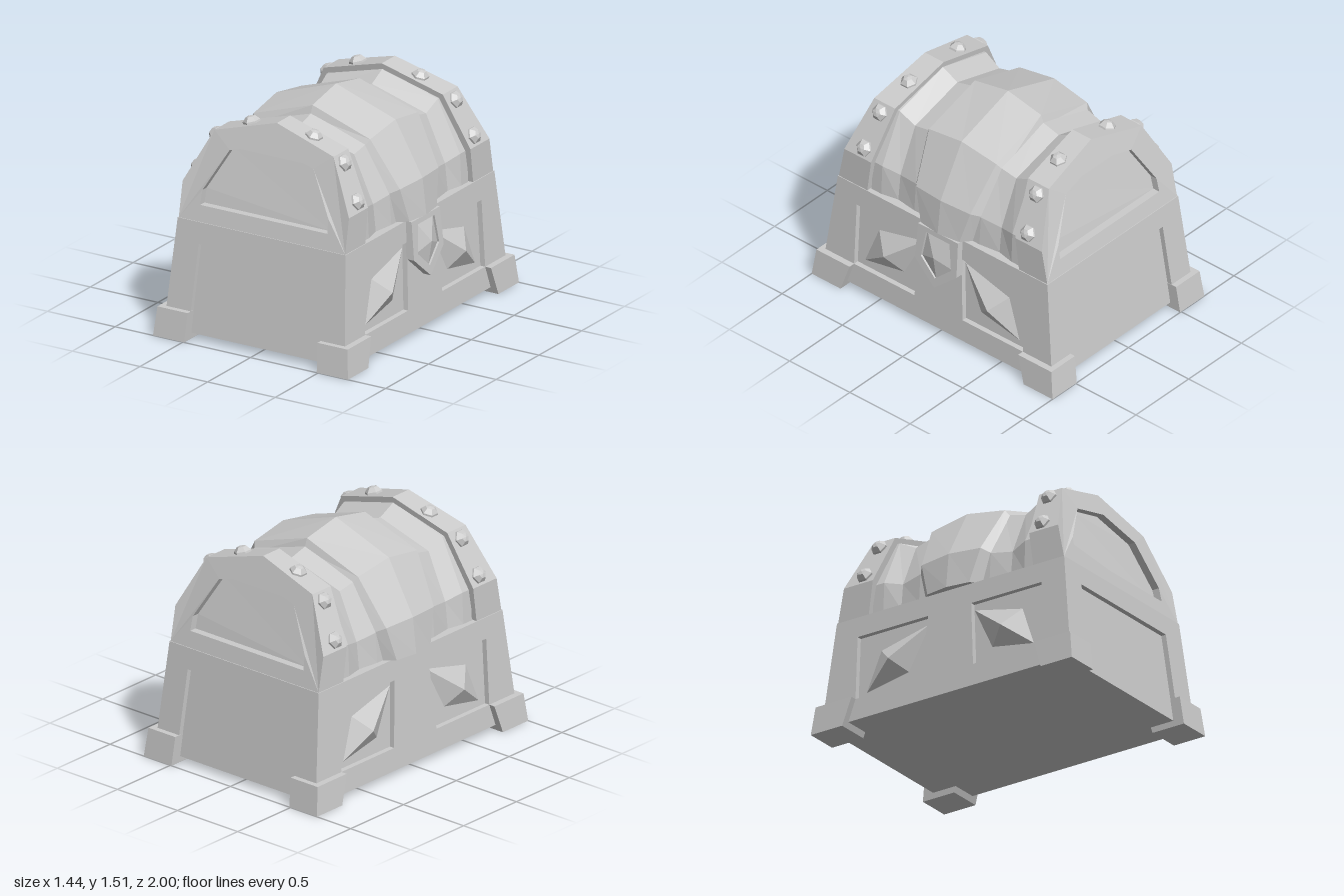
import * as THREE from 'three';
import { ConvexGeometry } from 'three/addons/geometries/ConvexGeometry.js';

const material = new THREE.MeshStandardMaterial({ color: 0xcccccc, flatShading: true, side: THREE.DoubleSide });
const mesh = (name, geometry) => {
  const m = new THREE.Mesh(geometry, material);
  m.name = name;
  return m;
};
const V = (x, y, z) => new THREE.Vector3(x, y, z);
const hull = (name, points) => mesh(name, new ConvexGeometry(points));
const mirrorX = (pts) => [...pts, ...pts.filter(([x]) => x !== 0).reverse().map(([x, y]) => [-x, y])];
const lerp = THREE.MathUtils.lerp;

// Half sizes of the tapered body at height y
const BOTTOM = 0.04, TOP = 0.77;
const taper = (a, b) => (y) => lerp(a, b, (y - BOTTOM) / (TOP - BOTTOM));
const sideX = taper(0.67, 0.62);
const endZ = taper(0.955, 0.87);

// Slab with holes facing +z whose outer and inner faces follow functions of height
function wall(name, outline, holes, outer, inner) {
  const toPoints = (pts) => pts.map(([x, y]) => new THREE.Vector2(x, y));
  const shape = new THREE.Shape(toPoints(outline));
  for (const h of holes) shape.holes.push(new THREE.Path(toPoints(h)));
  const g = new THREE.ExtrudeGeometry(shape, { depth: 1, bevelEnabled: false });
  const p = g.attributes.position;
  for (let i = 0; i < p.count; i++) p.setZ(i, lerp(inner(p.getY(i)), outer(p.getY(i)), p.getZ(i)));
  g.computeVertexNormals();
  return mesh(name, g);
}

// Surface through a grid of points, rows running over the arch from +x to -x
function loft(name, rows) {
  const pos = [], n = rows[0].length;
  for (let i = 0; i + 1 < rows.length; i++) {
    for (let j = 0; j + 1 < n; j++) {
      const a = rows[i][j], b = rows[i][j + 1], c = rows[i + 1][j], d = rows[i + 1][j + 1];
      for (const v of [a, b, c, b, d, c]) pos.push(v.x, v.y, v.z);
    }
  }
  const g = new THREE.BufferGeometry();
  g.setAttribute('position', new THREE.Float32BufferAttribute(pos, 3));
  g.computeVertexNormals();
  return mesh(name, g);
}
const mirrorRows = (rows) => [...rows, ...rows.slice(0, -1).reverse().map((r) => r.map((v) => V(-v.x, v.y, v.z)))];

function createBody() {
  const body = new THREE.Group();
  body.name = 'body';
  const inset = 0.035;

  // Core whose faces are the recessed panels
  const core = [];
  for (const y of [BOTTOM, TOP]) for (const sx of [-1, 1]) for (const sz of [-1, 1])
    core.push(V(sx * (sideX(y) - inset), y, sz * (endZ(y) - inset)));
  body.add(hull('bodyCore', core));

  // End frames open at the bottom, side frames with two panels
  const endOutline = mirrorX([[0.455, 0.63], [0.49, BOTTOM], [sideX(BOTTOM), BOTTOM], [sideX(TOP), TOP]]);
  const sideOutline = mirrorX([[endZ(BOTTOM), BOTTOM], [endZ(TOP), TOP]]);
  const panel = (s) => [[0.165 * s, 0.63], [0.705 * s, 0.63], [0.7 * s, 0.19], [0.2 * s, 0.19]];
  for (const k of [0, 1]) {
    const end = wall('endFrame', endOutline, [], endZ, (y) => endZ(y) - inset - 0.01);
    end.rotation.y = k * Math.PI;
    const side = wall('sideFrame', sideOutline, [panel(1), panel(-1)], sideX, (y) => sideX(y) - inset - 0.01);
    side.rotation.y = Math.PI / 2 + k * Math.PI;
    body.add(end, side);
  }

  for (const sx of [-1, 1]) for (const sz of [-1, 1]) {
    // Faceted pyramid in each side panel
    const base = [[0.64, 0.23], [0.32, 0.29], [0.17, 0.59], [0.54, 0.5]];
    const gem = base.map(([z, y]) => V(sx * (sideX(y) - inset), y, sz * z));
    gem.push(V(sx * 0.69, 0.39, sz * 0.43), V(sx * 0.55, 0.4, sz * 0.43));
    body.add(hull('panelGem', gem));

    // Corner foot, flared towards the ground
    const foot = [];
    for (const [y, x0, x1, z0, z1] of [[0, 0.49, 0.72, 0.76, 1], [0.19, 0.48, 0.703, 0.7, 0.975]])
      for (const x of [x0, x1]) for (const z of [z0, z1]) foot.push(V(sx * x, y, sz * z));
    body.add(hull('foot', foot));
  }
  return body;
}

function createLid() {
  const lid = new THREE.Group();
  lid.name = 'lid';

  // End arches with a recessed panel
  const arch = mirrorX([[0.615, TOP], [0.615, 1.0], [0.44, 1.345], [0, 1.47]]);
  const recess = mirrorX([[0.47, 0.875], [0.465, 0.97], [0.31, 1.245], [0, 1.325]]);
  const outer = (y) => (y < 1 ? lerp(0.865, 0.82, (y - TOP) / 0.23) : lerp(0.82, 0.69, (y - 1) / 0.47));
  const inner = (y) => lerp(0.63, 0.535, (y - TOP) / 0.7);
  const studs = [
    [0.23, 1.405, 0.62, 0.27, 0.96],
    [0.47, 1.286, 0.65, 0.89, 0.45],
    [0.585, 1.06, 0.68, 0.89, 0.45],
  ];
  const studProfile = [[0.058, -0.015], [0.056, 0.012], [0.03, 0.04], [0, 0.046]].map(([x, y]) => new THREE.Vector2(x, y));
  for (const sz of [1, -1]) {
    const end = new THREE.Group();
    end.name = 'lidEnd';
    end.rotation.y = sz > 0 ? 0 : Math.PI;
    end.add(wall('endArch', arch, [recess], outer, inner));
    end.add(wall('endPanel', recess, [], (y) => outer(y) - 0.05, (y) => outer(y) - 0.08));
    for (const sx of [-1, 1]) for (const [x, y, z, nx, ny] of studs) {
      const stud = mesh('stud', new THREE.LatheGeometry(studProfile, 6));
      stud.position.set(sx * x, y, z);
      stud.quaternion.setFromUnitVectors(V(0, 1, 0), V(sx * nx, ny, 0).normalize());
      end.add(stud);
    }
    lid.add(end);
  }

  // Sagging skin between the arches and the middle band
  const high = [[0.585, TOP], [0.575, 0.98], [0.41, 1.315], [0, 1.43]];
  const low = [[0.56, TOP], [0.54, 0.95], [0.4, 1.255], [0, 1.37]];
  const mid = [[0.58, TOP], [0.565, 0.97], [0.41, 1.29], [0, 1.41]];
  const stations = [[0.62, high], [0.54, high], [0.42, low], [0.27, mid], [-0.27, mid], [-0.42, low], [-0.54, high], [-0.62, high]];
  lid.add(loft('lidSkin', mirrorRows(high.map((_, i) => stations.map(([z, s]) => V(s[i][0], s[i][1], z))))));

  // Middle band: crest, edge and root of each cross-section with half widths
  const band = [
    [[0.55, TOP], [0.55, TOP], [0.55, TOP], 0.16, 0.22],
    [[0.668, TOP], [0.645, TOP], [0.575, TOP], 0.16, 0.22],
    [[0.64, 1.01], [0.615, 1.0], [0.555, 0.97], 0.225, 0.275],
    [[0.44, 1.36], [0.43, 1.315], [0.4, 1.265], 0.28, 0.315],
    [[0, 1.51], [0, 1.455], [0, 1.385], 0.275, 0.3],
  ];
  lid.add(loft('lidBand', mirrorRows(band.map(([c, e, r, w, wr]) =>
    [V(...r, wr), V(...e, w), V(...c, 0), V(...e, -w), V(...r, -wr)]))));
  return lid;
}

function createLock() {
  const lock = new THREE.Group();
  lock.name = 'lock';
  const face = (y) => 0.663 + 0.095 * (TOP - y);
  const shield = mirrorX([[0.165, TOP], [0.173, 0.52], [0, 0.37]]);
  const opening = mirrorX([[0.097, 0.735], [0.125, 0.55], [0, 0.437]]);
  lock.add(wall('lockPlate', shield, [opening], face, (y) => face(y) - 0.055));

  // Faceted stone in the plate
  const stone = opening.flatMap(([x, y]) => [V(x * 0.97, y, face(y) - 0.012), V(x * 0.97, y, face(y) - 0.06)]);
  lock.add(hull('lockStone', [...stone, V(0, 0.6, 0.708)]));
  lock.rotation.y = Math.PI / 2;
  return lock;
}

export function createModel() {
  const chest = new THREE.Group();
  chest.name = 'chest';
  chest.add(createBody(), createLid(), createLock());
  return chest;
}
